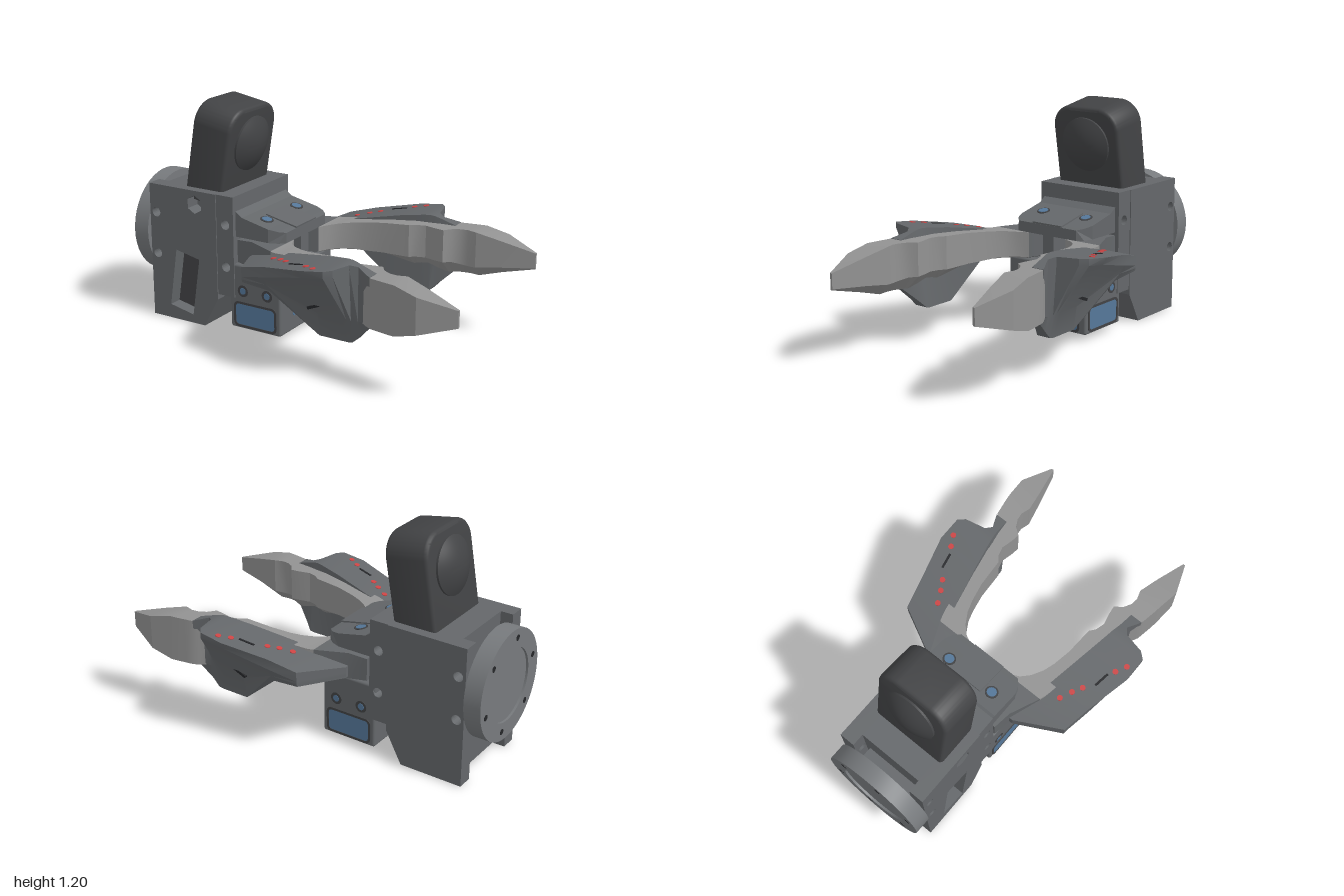
import * as THREE from 'three';
import { toCreasedNormals } from 'three/addons/utils/BufferGeometryUtils.js';
import { RoundedBoxGeometry } from 'three/addons/geometries/RoundedBoxGeometry.js';

const mat = (color) => new THREE.MeshStandardMaterial({ color });
const BODY = mat(0x64676a), DARK = mat(0x424345), GREY = mat(0x929292), RIM = mat(0x777a7d);
const BLUE = mat(0x557799), RED = mat(0xcc4444), BLACK = mat(0x252629);

function add(parent, name, geometry, material, x = 0, y = 0, z = 0) {
  const mesh = new THREE.Mesh(geometry, material);
  mesh.name = name;
  mesh.position.set(x, y, z);
  parent.add(mesh);
  return mesh;
}
const box = (w, h, d) => new THREE.BoxGeometry(w, h, d);
const disc = (r, d) => new THREE.CylinderGeometry(r, r, d, 20);
const path = (pts) => new THREE.Shape(pts.map(([x, y]) => new THREE.Vector2(x, y)));
const hole = (x, y, r, sides = 20) => path(Array.from({ length: sides }, (_, i) => {
  const a = (i / sides) * Math.PI * 2 + Math.PI / 2;
  return [x + r * Math.cos(a), y + r * Math.sin(a)];
}));

// Side profile extruded from z0 to z1
function slab(pts, z0, z1, holes = []) {
  const shape = path(pts);
  shape.holes.push(...holes);
  return new THREE.ExtrudeGeometry(shape, { depth: z1 - z0, bevelEnabled: false }).translate(0, 0, z0);
}

// Profile of [radius, height] turned around an axis that points along +x
function turned(profile) {
  const g = new THREE.LatheGeometry(profile.map(([r, h]) => new THREE.Vector2(r, h)), 48);
  return toCreasedNormals(g, 0.5).rotateZ(-Math.PI / 2);
}

function roundedRect(w, h, r) {
  const s = new THREE.Shape();
  s.absarc(w / 2 - r, h / 2 - r, r, 0, Math.PI / 2);
  s.absarc(-w / 2 + r, h / 2 - r, r, Math.PI / 2, Math.PI);
  s.absarc(-w / 2 + r, -h / 2 + r, r, Math.PI, Math.PI * 1.5);
  s.absarc(w / 2 - r, -h / 2 + r, r, Math.PI * 1.5, Math.PI * 2);
  return s;
}

// Solid through rings of [y, z] placed along x
function loft(sections) {
  const n = sections[0].ring.length, pos = [], idx = [];
  sections.forEach(({ x, ring }) => ring.forEach(([y, z]) => pos.push(x, y, z)));
  for (let s = 0; s < sections.length - 1; s++) {
    for (let i = 0; i < n; i++) {
      const a = s * n + i, b = s * n + (i + 1) % n;
      idx.push(a, b, b + n, a, b + n, a + n);
    }
  }
  const e = (sections.length - 1) * n;
  for (let i = 1; i < n - 1; i++) idx.push(0, i + 1, i, e, e + i, e + i + 1);
  const g = new THREE.BufferGeometry();
  g.setAttribute('position', new THREE.Float32BufferAttribute(pos, 3));
  g.setIndex(idx);
  return toCreasedNormals(g, 0.45);
}

// Window: dark rounded frame and blue pane facing +z before rotation
function addWindow(parent, w, h, p, rx, ry) {
  const g = new THREE.Group();
  g.name = 'window';
  const frame = roundedRect(w + 0.025, h + 0.025, 0.03);
  frame.holes.push(roundedRect(w, h, 0.02));
  add(g, 'windowFrame', new THREE.ExtrudeGeometry(frame, { depth: 0.004, bevelEnabled: false }), DARK);
  add(g, 'windowPane', new THREE.ShapeGeometry(roundedRect(w, h, 0.02)), BLUE, 0, 0, 0.002);
  g.position.set(...p);
  g.rotation.set(rx, ry, 0);
  parent.add(g);
}

function makeFinger() {
  const f = new THREE.Group();
  // Arm and claw: x, inner z, outer z, bottom y, top y, inner bottom y, width of bottom slope
  const rows = [
    [-0.35, 0.06, 0.25, 0.4, 0.52, 0.405, 0.01], [-0.25, 0.06, 0.265, 0.39, 0.53, 0.395, 0.01],
    [-0.09, 0.12, 0.335, 0.39, 0.53, 0.395, 0.01], [-0.06, 0.18, 0.345, 0.39, 0.53, 0.395, 0.01],
    [-0.02, 0.22, 0.355, 0.39, 0.535, 0.395, 0.01], [0.04, 0.255, 0.365, 0.39, 0.54, 0.395, 0.01],
    [0.1, 0.275, 0.375, 0.385, 0.545, 0.39, 0.02], [0.2, 0.295, 0.395, 0.375, 0.555, 0.39, 0.04],
    [0.35, 0.304, 0.42, 0.335, 0.565, 0.39, 0.07], [0.38, 0.328, 0.43, 0.33, 0.565, 0.39, 0.06],
    [0.43, 0.342, 0.435, 0.325, 0.565, 0.39, 0.06], [0.49, 0.328, 0.445, 0.32, 0.565, 0.39, 0.07],
    [0.54, 0.321, 0.475, 0.315, 0.565, 0.39, 0.08], [0.57, 0.362, 0.49, 0.315, 0.565, 0.385, 0.06],
    [0.61, 0.384, 0.497, 0.315, 0.565, 0.375, 0.05], [0.65, 0.389, 0.504, 0.315, 0.565, 0.37, 0.05],
    [0.7, 0.374, 0.511, 0.315, 0.565, 0.375, 0.06], [0.82, 0.4, 0.524, 0.35, 0.535, 0.39, 0.05],
    [1, 0.445, 0.457, 0.4, 0.485, 0.405, 0.004]];
  const sections = rows.map(([x, zi, zo, yb, yt, yi, k]) => (
    { x, ring: [[yt, zi], [yt, zo], [yb, zo], [yb, zi + k], [yi, zi]] }));
  add(f, 'arm', loft(sections.slice(0, 3)), BODY);
  add(f, 'claw', loft(sections.slice(2)), GREY);
  // Fin with one slanted outer face: x, top y, outer and inner top z, edge y, knee y, bottom y, inner bottom z
  const fin = [
    [-0.25, 0.46, 0.285, 0.26, 0.43, 0.415, 0.4, 0.26], [-0.13, 0.5, 0.53, 0.31, 0.45, 0.435, 0.42, 0.31],
    [0.02, 0.54, 0.562, 0.325, 0.487, 0.44, 0.4, 0.33], [0.26, 0.585, 0.623, 0.375, 0.545, 0.315, 0.195, 0.36],
    [0.39, 0.603, 0.62, 0.4, 0.57, 0.315, 0.195, 0.36], [0.42, 0.605, 0.585, 0.405, 0.575, 0.315, 0.195, 0.36],
    [0.445, 0.602, 0.475, 0.41, 0.585, 0.315, 0.2, 0.36], [0.48, 0.592, 0.45, 0.415, 0.58, 0.315, 0.238, 0.38],
    [0.56, 0.567, 0.488, 0.42, 0.56, 0.34, 0.315, 0.42]];
  const face = (y) => (y < 0.315 ? 0.437 : 0.455 + 0.65 * (y - 0.315));
  add(f, 'fin', loft(fin.map(([x, yt, zo, zi, ye, yk, yb, bi]) => {
    const z = (y) => Math.min(face(y), zo);
    return { x, ring: [[yt, zi], [yt, zo], [ye, z(ye)], [yk, z(yk)], [yb, z(yb)], [yb, bi]] };
  })), BODY);
  // Indicator dots and slots on the fin
  for (const [x, y, z] of [[-0.02, 0.53, 0.41], [0.04, 0.544, 0.44], [0.09, 0.553, 0.47], [0.255, 0.584, 0.55], [0.31, 0.592, 0.58]]) {
    add(f, 'dot', disc(0.015, 0.006), RED, x, y, z).rotation.z = 0.18;
  }
  add(f, 'topSlot', box(0.085, 0.006, 0.012), BLACK, 0.18, 0.57, 0.52).rotation.set(0, -0.17, 0.18);
  add(f, 'sideSlot', box(0.09, 0.014, 0.04), BLACK, 0.265, 0.365, 0.472).rotation.z = 0.4;
  return f;
}

export function createModel() {
  const model = new THREE.Group();
  model.name = 'gripper';

  // Mounting flange with bolt ring
  const flange = turned([[0, 0], [0.285, 0], [0.285, 0.09], [0.19, 0.09], [0.19, 0.078], [0, 0.078]]);
  add(model, 'flange', flange.rotateY(Math.PI), RIM, -0.91, 0.47);
  for (let i = 0; i < 6; i++) {
    const a = (i / 6) * Math.PI * 2 + 0.3;
    add(model, 'flangeBolt', disc(0.016, 0.004).rotateZ(Math.PI / 2), BLACK, -0.999, 0.47 + 0.238 * Math.sin(a), 0.238 * Math.cos(a));
  }
  add(model, 'neck', box(0.1, 0.17, 0.31), BODY, -0.87, 0.475);

  // Main body: core and two side plates
  const outline = (x0) => [[x0, 0.003], [-0.565, 0.003], [-0.475, 0.17], [-0.475, 0.745], [x0, 0.745]];
  const bolts = () => [hole(-0.865, 0.59, 0.026), hole(-0.865, 0.36, 0.026)];
  const pocket = [[-0.74, 0.4], [-0.59, 0.37], [-0.64, 0.05], [-0.79, 0.08]];
  add(model, 'bodyCore', slab(outline(-0.838), -0.18, 0.18), BODY);
  add(model, 'bodyLeftPlate', slab(outline(-0.905), 0.18, 0.263, [...bolts(), path(pocket), hole(-0.61, 0.67, 0.05, 6)]), BODY);
  add(model, 'bodyRightPlate', slab(outline(-0.905), -0.263, -0.18, bolts()), BODY);
  add(model, 'pocketFloor', slab(pocket, 0.18, 0.19), DARK);
  add(model, 'bottomSocket', disc(0.05, 0.004), BLACK, -0.76, 0.002, 0.02);

  // Wrist bracket, sloped deck narrowing to its front edge
  add(model, 'bracketPlate', slab([[-0.478, 0.2], [-0.37, 0.2], [-0.37, 0.745], [-0.478, 0.745]], -0.258, 0.258,
    [hole(-0.42, 0.59, 0.026), hole(-0.42, 0.36, 0.026)]), BODY);
  const deck = slab([[-0.37, 0.53], [-0.17, 0.53], [-0.12, 0.53], [-0.09, 0.53], [-0.09, 0.585],
    [-0.12, 0.592], [-0.17, 0.602], [-0.22, 0.613], [-0.33, 0.637], [-0.37, 0.665]], -0.235, 0.235);
  const p = deck.attributes.position;
  for (let i = 0; i < p.count; i++) {
    const t = Math.max(0, (p.getX(i) + 0.17) / 0.08);
    p.setZ(i, p.getZ(i) * (1 - 0.2 * t * t));
  }
  deck.computeVertexNormals();
  add(model, 'deck', deck, BODY);
  add(model, 'deckBlock', box(0.19, 0.05, 0.19), BODY, -0.187, 0.588).rotation.z = -0.2;
  add(model, 'centreColumn', box(0.27, 0.16, 0.07), BODY, -0.235, 0.457);
  for (const s of [-1, 1]) {
    add(model, 'deckScrewRing', disc(0.035, 0.008), DARK, -0.24, 0.617, s * 0.14).rotation.z = -0.21;
    add(model, 'deckScrew', disc(0.026, 0.012), BLUE, -0.24, 0.617, s * 0.14).rotation.z = -0.21;
  }

  // Sensor housing with windows and screws
  add(model, 'housing', new RoundedBoxGeometry(0.31, 0.35, 0.505, 2, 0.012), BODY, -0.245, 0.21, 0);
  for (const s of [-1, 1]) {
    addWindow(model, 0.24, 0.115, [-0.245, 0.115, s * 0.2525], 0, s > 0 ? 0 : Math.PI);
    for (const x of [-0.32, -0.17]) {
      add(model, 'sideScrewRing', disc(0.032, 0.004).rotateX(Math.PI / 2), DARK, x, 0.245, s * 0.2525);
      add(model, 'sideScrew', disc(0.018, 0.007).rotateX(Math.PI / 2), BLUE, x, 0.245, s * 0.2525);
    }
  }
  addWindow(model, 0.225, 0.115, [-0.09, 0.112, -0.09], 0, Math.PI / 2);
  addWindow(model, 0.24, 0.42, [-0.245, 0.035, 0], Math.PI / 2, 0);
  for (const [y, z] of [[0.24, 0.12], [0.24, -0.1], [0.13, 0.12]]) {
    add(model, 'frontScrew', disc(0.015, 0.006).rotateZ(Math.PI / 2), BLUE, -0.09, y, z);
  }

  // Leaning camera head with a rimmed dome on each face
  const head = new THREE.Group();
  head.name = 'cameraHead';
  head.position.set(-0.587, 0.742, 0);
  head.rotation.z = -0.17;
  const s = new THREE.Shape();
  s.moveTo(-0.19, -0.05);
  s.lineTo(0.19, -0.05);
  s.absarc(0.09, 0.33, 0.1, 0, Math.PI / 2);
  s.absarc(-0.09, 0.33, 0.1, Math.PI / 2, Math.PI);
  const shell = new THREE.ExtrudeGeometry(s, { depth: 0.195, bevelSize: 0.02, bevelThickness: 0.02, bevelSegments: 3, curveSegments: 12 });
  add(head, 'cameraShell', toCreasedNormals(shell.translate(0, 0, -0.0975).rotateY(Math.PI / 2), 0.6), DARK);
  const dome = [[0.147, 0], [0.147, 0.012]];
  for (let i = 0; i <= 8; i++) {
    const r = 0.142 * (1 - i / 8);
    dome.push([r, 0.015 + 0.044 * (1 - (r / 0.142) ** 2)]);
  }
  for (const side of [-1, 1]) {
    add(head, 'cameraDome', turned(dome).rotateY(side > 0 ? 0 : Math.PI), DARK, side * 0.116, 0.25, 0);
  }
  model.add(head);

  // Mirrored pair of fingers
  for (const side of [1, -1]) {
    const finger = makeFinger();
    finger.name = side > 0 ? 'leftFinger' : 'rightFinger';
    finger.scale.z = side;
    model.add(finger);
  }
  return model;
}
